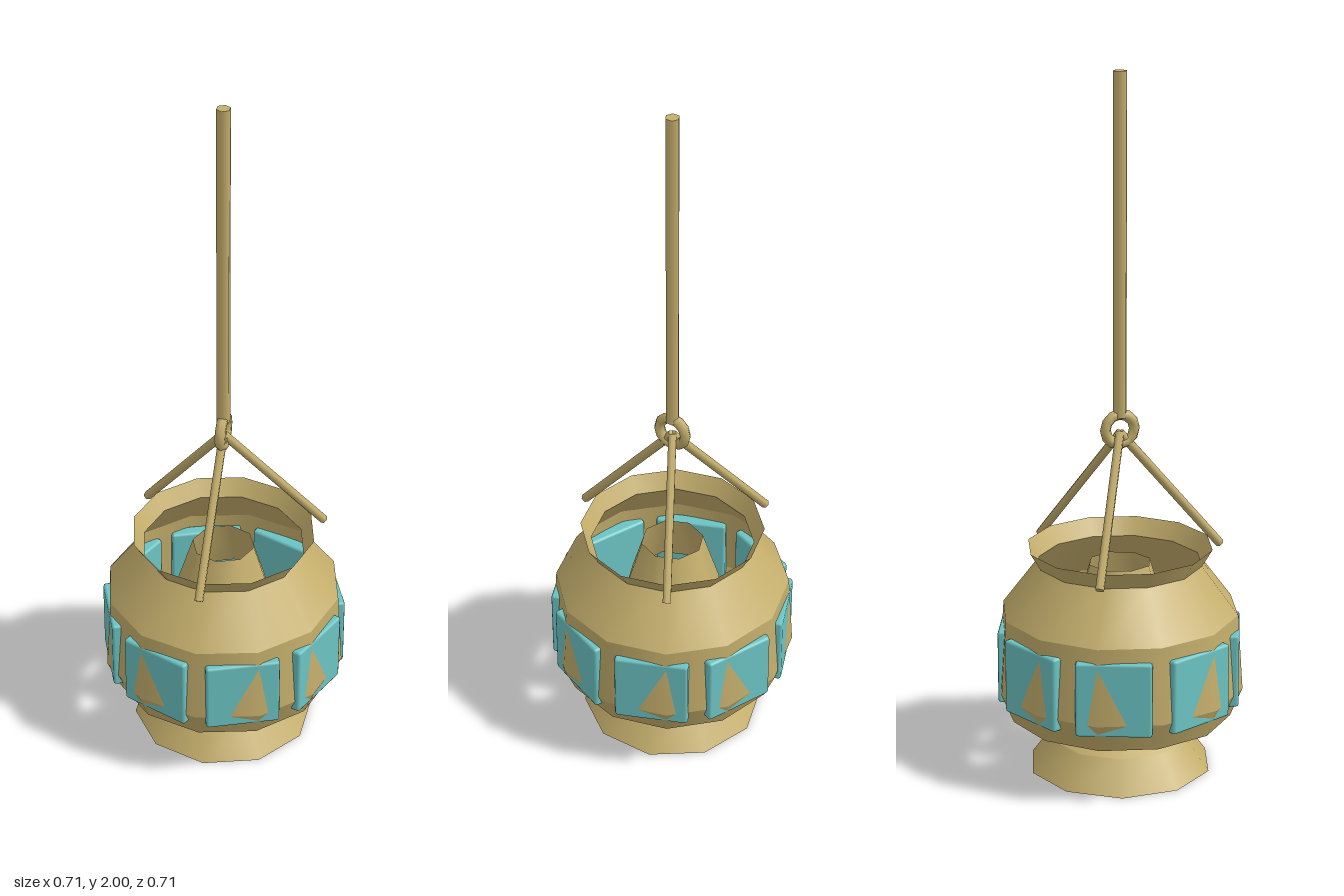
import * as THREE from 'three';
import { mergeGeometries } from 'three/addons/utils/BufferGeometryUtils.js';
import { RoundedBoxGeometry } from 'three/addons/geometries/RoundedBoxGeometry.js';

// Turned shell: open bands stacked along [radius, y] points, sharp between bands, smooth around
function turnedShell(profile, sides) {
  const bands = [];
  for (let i = 0; i < profile.length - 1; i++) {
    const [r0, y0] = profile[i];
    const [r1, y1] = profile[i + 1];
    const band = new THREE.CylinderGeometry(r1, r0, y1 - y0, sides, 1, true);
    band.translate(0, (y0 + y1) / 2, 0);
    bands.push(band);
  }
  return mergeGeometries(bands);
}

export function createModel() {
  const model = new THREE.Group();
  model.name = 'hangingLantern';

  const brass = new THREE.MeshStandardMaterial({ color: 0xc4ae6c, side: THREE.DoubleSide });
  brass.name = 'brass';
  const glass = new THREE.MeshStandardMaterial({ color: 0x6cc4c4 });
  glass.name = 'turquoiseGlass';

  const add = (name, geometry, material = brass) => {
    const mesh = new THREE.Mesh(geometry, material);
    mesh.name = name;
    model.add(mesh);
    return mesh;
  };

  // Straight rod between two points
  const rod = (name, a, b, radius, sides) => {
    const dir = b.clone().sub(a);
    const mesh = add(name, new THREE.CylinderGeometry(radius, radius, dir.length(), sides));
    mesh.position.copy(a).add(b).multiplyScalar(0.5);
    mesh.quaternion.setFromUnitVectors(new THREE.Vector3(0, 1, 0), dir.normalize());
    return mesh;
  };

  // Open bowl with flared rim
  add('bowl', turnedShell([
    [0.32, 0.165], [0.355, 0.25], [0.34, 0.47], [0.235, 0.61], [0.265, 0.66],
  ], 12));

  // Flared foot, narrowing to an open neck
  add('foot', turnedShell([
    [0.265, 0], [0.2, 0.09], [0.1, 0.16], [0.045, 0.22],
  ], 10));

  // Open tapered lamp holder inside the bowl
  add('lampHolder', turnedShell([[0.14, 0.45], [0.09, 0.61]], 8));

  // Eight glass panels; the bowl's ridges break through their faces
  const panelGeometry = new RoundedBoxGeometry(0.212, 0.215, 0.04, 1, 0.008);
  for (let i = 0; i < 8; i++) {
    const angle = (i + 0.5) * Math.PI / 4;
    const panel = add('glassPanel', panelGeometry, glass);
    panel.position.set(Math.sin(angle) * 0.321, 0.3225, Math.cos(angle) * 0.321);
    panel.rotation.y = angle;
  }

  // Three hanger rods meeting at the ring
  for (let i = 0; i < 3; i++) {
    const angle = i * Math.PI * 2 / 3;
    rod('hangerRod',
      new THREE.Vector3(0, 0.99, 0),
      new THREE.Vector3(Math.sin(angle) * 0.305, 0.63, Math.cos(angle) * 0.305),
      0.013, 6);
  }

  // Ring and long suspension rod
  const ring = add('ring', new THREE.TorusGeometry(0.043, 0.016, 6, 12));
  ring.position.y = 1;
  ring.rotation.y = Math.PI / 2;
  rod('suspensionRod', new THREE.Vector3(0, 1.035, 0), new THREE.Vector3(0, 2, 0), 0.02, 6);

  return model;
}
